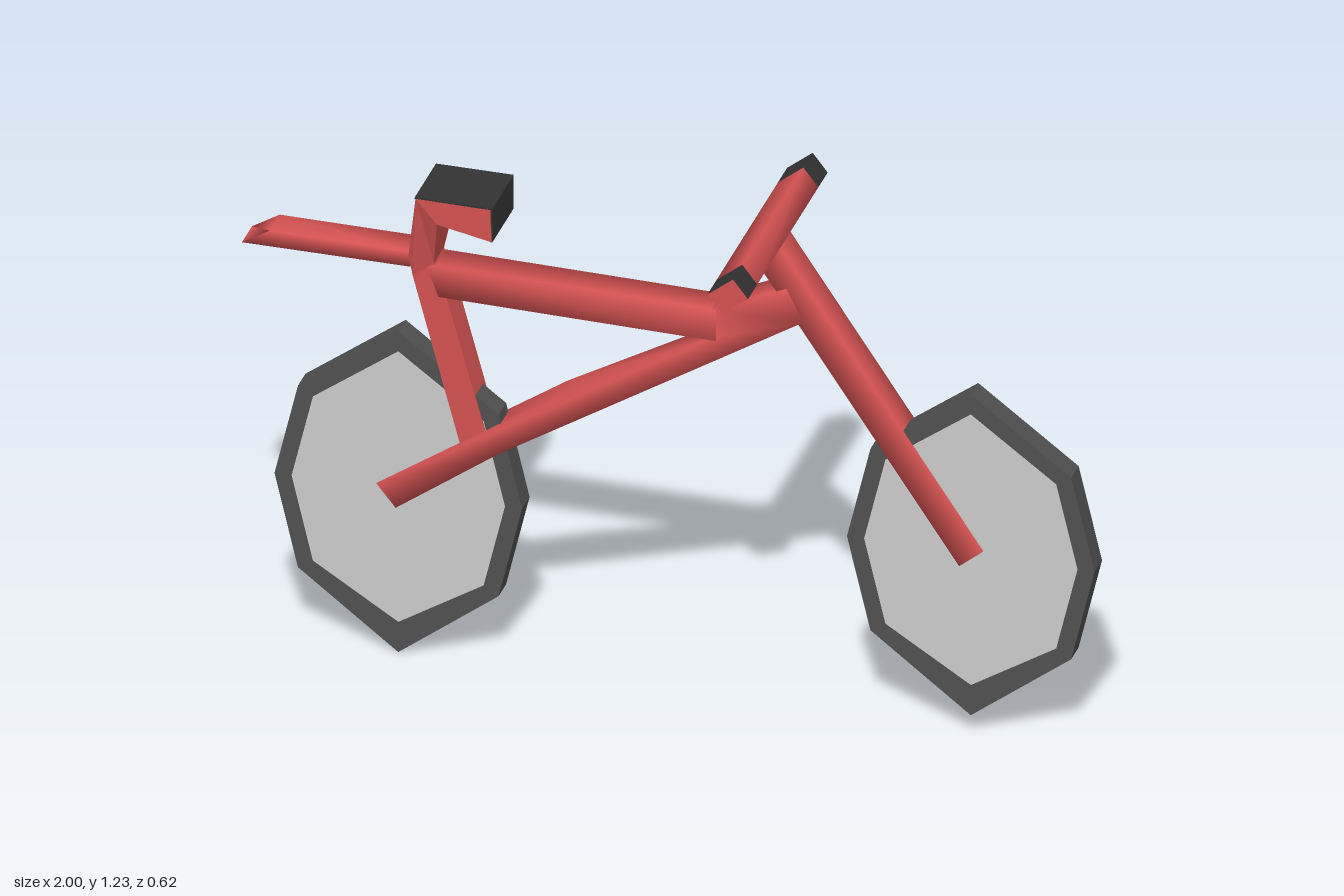
import * as THREE from 'three';
import { mergeVertices } from 'three/addons/utils/BufferGeometryUtils.js';

const red = new THREE.MeshStandardMaterial({ color: 0xd45252 });
const black = new THREE.MeshStandardMaterial({ color: 0x333333 });
const rubber = new THREE.MeshStandardMaterial({ color: 0x505050 });
const grey = new THREE.MeshStandardMaterial({ color: 0xcccccc });

const toVectors = (points) => points.map(([x, y]) => new THREE.Vector2(x, y));

// Side profile extruded in z from z0 to z1
function prism(points, z0, z1, hole) {
  const shape = new THREE.Shape(toVectors(points));
  if (hole) shape.holes.push(new THREE.Path(toVectors(hole)));
  const geometry = new THREE.ExtrudeGeometry(shape, { depth: z1 - z0, bevelEnabled: false });
  return geometry.translate(0, 0, z0);
}

// Share corners so the shading runs softly round the bar
function soften(geometry) {
  geometry.deleteAttribute('normal');
  geometry.deleteAttribute('uv');
  const merged = mergeVertices(geometry, 1e-4);
  merged.computeVertexNormals();
  return merged;
}

function part(name, geometry, material) {
  const mesh = new THREE.Mesh(geometry, material);
  mesh.name = name;
  return mesh;
}

// Eight-cornered wheel outline: side, diagonal and top/bottom reach
function wheelOutline(side, dx, dy, top, bottom) {
  return [[side, 0], [dx, dy], [0, top], [-dx, dy], [-side, 0], [-dx, -dy], [0, -bottom], [dx, -dy]];
}

function makeWheel(name, x, y) {
  const wheel = new THREE.Group();
  wheel.name = name;
  const outer = wheelOutline(0.29, 0.235, 0.232, 0.407, 0.412);
  const inner = wheelOutline(0.25, 0.2, 0.21, 0.357, 0.335);
  wheel.add(part('tyre', prism(outer, -0.017, 0.041, inner), rubber));
  wheel.add(part('wheelDisc', prism(inner, -0.0165, 0.0405), grey));
  wheel.position.set(x, y, 0);
  return wheel;
}

export function createModel() {
  const bike = new THREE.Group();
  bike.name = 'bicycle';

  bike.add(makeWheel('rearWheel', -0.635, 0.417), makeWheel('frontWheel', 0.706, 0.468));

  // Frame bars
  const back = -0.033, front = 0.045;
  const bars = {
    downTube: [[-0.685, 0.43], [-0.64, 0.375], [-0.4, 0.55], [0.315, 1.0], [0.275, 1.08],
      [0.1, 1.0], [0.1, 0.925], [-0.26, 0.72]],
    topTube: [[-0.57, 1.01], [-0.54, 0.93], [0.11, 0.92], [0.11, 1.0]],
    rearFender: [[-1, 0.997], [-0.59, 0.997], [-0.6, 1.035], [-0.935, 1.037]],
    fork: [[0.19, 1.16], [0.68, 0.435], [0.735, 0.48], [0.25, 1.2]],
  };
  for (const [name, points] of Object.entries(bars)) {
    bike.add(part(name, soften(prism(points, back, front)), red));
  }

  // Seat post, flaring in width up to the saddle
  const post = prism([[-0.58, 1.198], [-0.61, 1.025], [-0.6, 0.975], [-0.49, 0.565], [-0.43, 0.6],
    [-0.52, 0.93], [-0.55, 1.015], [-0.53, 1.14], [-0.402, 1.115], [-0.402, 1.198]], back, front);
  const p = post.attributes.position;
  for (let i = 0; i < p.count; i++) {
    if (p.getY(i) > 1.1) p.setZ(i, p.getZ(i) > 0 ? 0.09 : -0.076);
  }
  post.computeVertexNormals();
  bike.add(part('seatPost', post, red));

  // Dark cover on the top and nose of the saddle
  bike.add(part('saddleCover', prism([[-0.582, 1.197], [-0.404, 1.197], [-0.404, 1.115],
    [-0.4, 1.115], [-0.4, 1.201], [-0.582, 1.201]], -0.076, 0.09), black));

  // Handlebar with a dark grip at each end
  const bar = [[0.17, 1.187], [0.205, 1.145], [0.265, 1.19], [0.23, 1.235]];
  bike.add(part('handlebar', soften(prism(bar, -0.237, 0.237)), red));
  for (const [name, z] of [['leftGrip', 0.237], ['rightGrip', -0.309]]) {
    bike.add(part(name, prism(bar, z, z + 0.072), [red, black]));
  }
  return bike;
}
